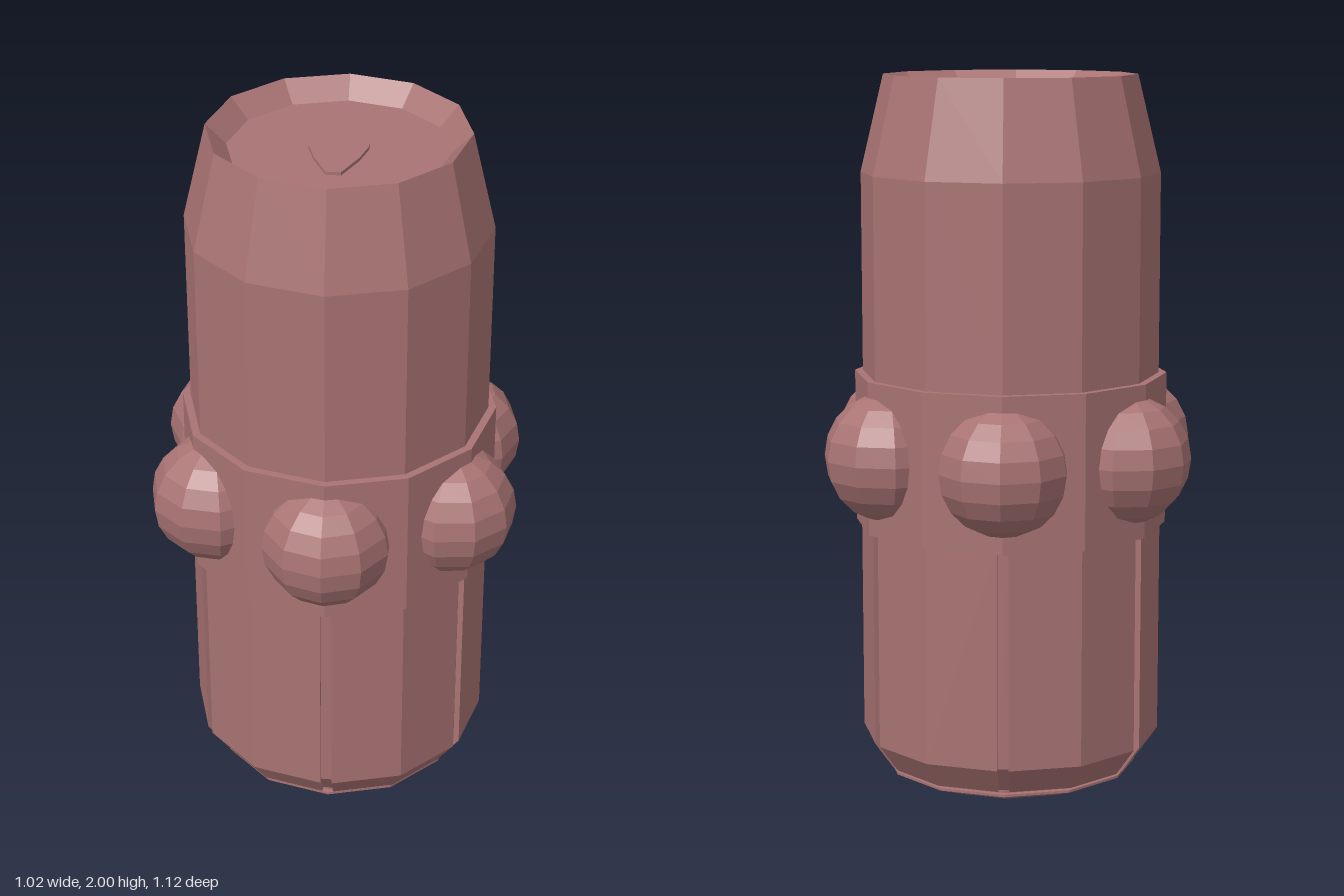
import * as THREE from 'three';

const SIDES = 12;
const material = new THREE.MeshStandardMaterial({ color: 0xa97373, flatShading: true });

function addMesh(parent, name, geometry) {
  const mesh = new THREE.Mesh(geometry, material);
  mesh.name = name;
  parent.add(mesh);
  return mesh;
}

// Twelve-sided turned part from [radius, height] pairs, listed bottom to top on the outside
function turned(profile) {
  return new THREE.LatheGeometry(profile.map(([r, y]) => new THREE.Vector2(r, y)), SIDES);
}

// Twelve-sided ring with a notch cut at every second corner
function notchedRing(radius, y, halfWidth, depth) {
  const points = [];
  const corner = (i, r) => {
    const a = (i / SIDES) * Math.PI * 2;
    return new THREE.Vector3(Math.sin(a) * r, y, Math.cos(a) * r);
  };
  for (let i = 0; i < SIDES; i++) {
    const c = corner(i, radius);
    if (i % 2) {
      points.push(c);
      continue;
    }
    const inward = corner(i, depth).setY(0);
    const toward = (j) => corner(j, radius).sub(c).setLength(halfWidth).add(c);
    const before = toward(i - 1), after = toward(i + 1);
    points.push(before, before.clone().sub(inward), after.clone().sub(inward), after);
  }
  return points;
}

// Joins equal-length rings, bottom to top
function loft(rings) {
  const n = rings[0].length;
  const index = [];
  for (let k = 0; k < rings.length - 1; k++) {
    for (let i = 0; i < n; i++) {
      const a = k * n + i, b = k * n + (i + 1) % n;
      index.push(a, b, b + n, a, b + n, a + n);
    }
  }
  const geometry = new THREE.BufferGeometry().setFromPoints(rings.flat());
  geometry.setIndex(index);
  const flat = geometry.toNonIndexed();
  flat.computeVertexNormals();
  return flat;
}

export function createModel() {
  const model = new THREE.Group();
  model.name = 'studdedCylinder';

  // Bevelled foot with a narrow neck under the lower body
  addMesh(model, 'foot', turned([[0, 0], [0.27, 0], [0.36, 0.035], [0.36, 0.042], [0.345, 0.042], [0.345, 0.07]]));

  // Lower body with six vertical grooves running down over the bevel
  const grooveProfile = [[0.32, 0.052], [0.37, 0.052], [0.425, 0.13], [0.425, 0.76]];
  addMesh(model, 'groovedLowerBody', loft(grooveProfile.map(([r, y]) => notchedRing(r, y, 0.016, 0.018))));

  // Collar around the waist
  addMesh(model, 'collar', turned([[0.39, 0.74], [0.44, 0.74], [0.44, 1.17], [0.4, 1.17]]));

  // Upper body, tapered at the top, with a dished end
  addMesh(model, 'upperBody', turned([[0.418, 1.16], [0.418, 1.73], [0.353, 2], [0.298, 1.945], [0, 1.945]]));

  // Six round studs on the collar
  const studs = new THREE.Group();
  studs.name = 'studs';
  model.add(studs);
  for (let i = 0; i < 6; i++) {
    const arm = new THREE.Group();
    arm.rotation.y = (i * Math.PI) / 3;
    studs.add(arm);
    const stud = addMesh(arm, 'stud', new THREE.SphereGeometry(0.18, 10, 10));
    stud.position.set(0, 0.957, 0.38);
    stud.rotation.y = Math.PI / 10;
  }

  // Slightly raised drop-shaped pad on the end
  const half = [[0.025, 0.09], [0.06, 0.067], [0.08, 0.025], [0.08, -0.005], [0.06, -0.075], [0.02, -0.163]];
  const outline = [...half, ...half.map(([x, y]) => [-x, y]).reverse()];
  const drop = new THREE.Shape(outline.map(([x, y]) => new THREE.Vector2(x, y)));
  const pad = addMesh(model, 'dropPad', new THREE.ExtrudeGeometry(drop, { depth: 0.012, bevelEnabled: false }));
  pad.rotation.x = -Math.PI / 2;
  pad.position.y = 1.942;

  return model;
}
